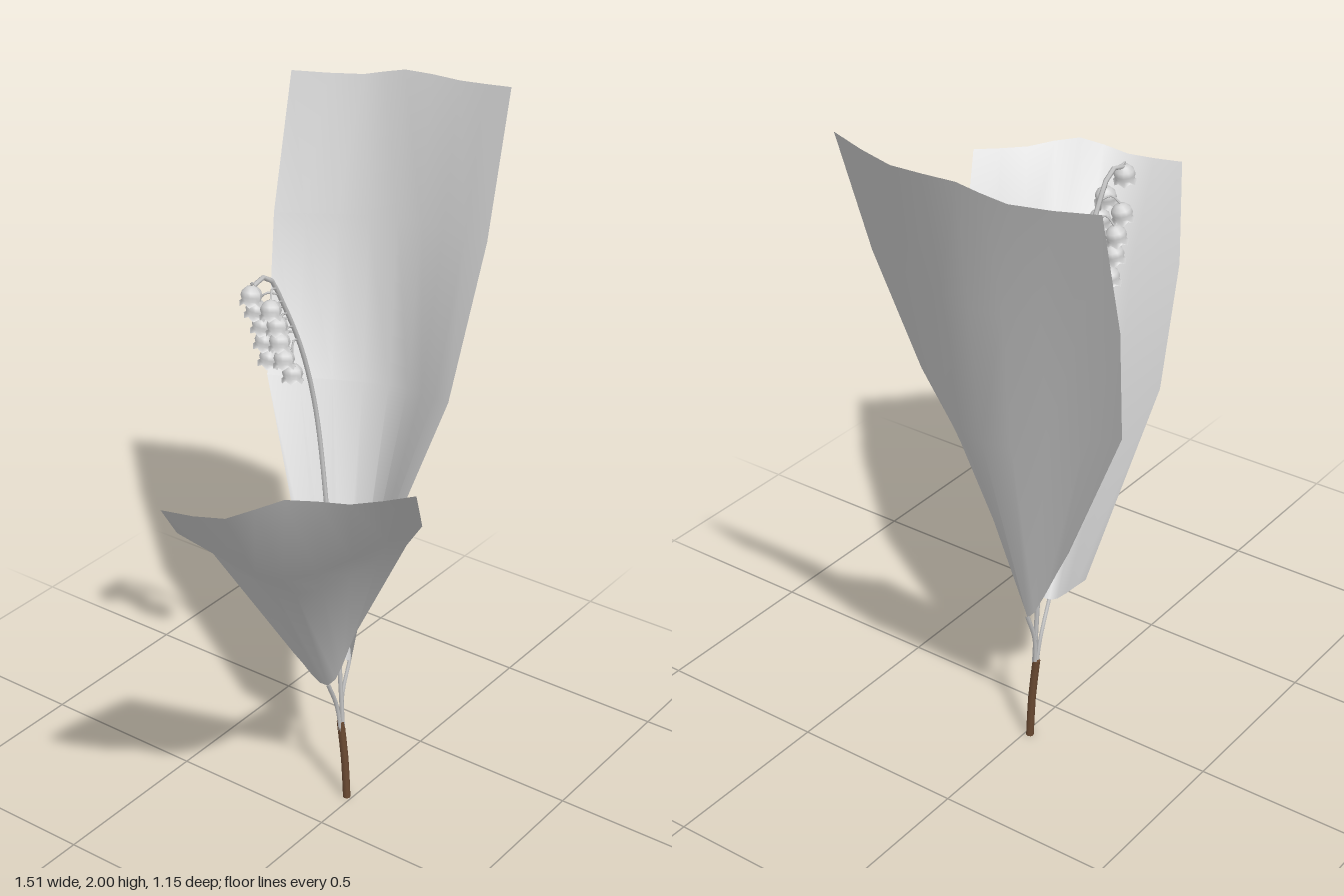
import * as THREE from 'three';

const V = (p) => new THREE.Vector3(...p);
const material = (name, color, side = THREE.FrontSide) => {
  const m = new THREE.MeshStandardMaterial({ color, side });
  m.name = name;
  return m;
};

// Leaf blade lofted straight between curved cross-sections, tip row first
function leafGeometry(rows, columns = 8) {
  const positions = [], index = [];
  rows.forEach((row, r) => {
    const curve = new THREE.CatmullRomCurve3(row.map(V));
    for (let c = 0; c <= columns; c++) {
      positions.push(...curve.getPoint(c / columns).toArray());
      if (r === 0 || c === columns) continue;
      const b = r * (columns + 1) + c, a = b - columns - 1;
      index.push(a, b, a + 1, a + 1, b, b + 1);
    }
  });
  const g = new THREE.BufferGeometry();
  g.setAttribute('position', new THREE.Float32BufferAttribute(positions, 3));
  g.setIndex(index);
  g.computeVertexNormals();
  return g;
}

export function createModel() {
  const model = new THREE.Group();
  model.name = 'floweringPlant';
  const leafMat = material('leaf grey', 0xcccccc, THREE.DoubleSide);
  const stemMat = material('stem grey', 0xc4c4c4);
  const bellMat = material('bell grey', 0xd0d0d0, THREE.DoubleSide);
  const sheathMat = material('sheath brown', 0x6a4a32);

  const add = (name, geometry, mat, parent = model) => {
    const mesh = new THREE.Mesh(geometry, mat);
    mesh.name = name;
    parent.add(mesh);
    return mesh;
  };
  const tube = (name, points, radius, mat, segments = 12, sides = 6) =>
    add(name, new THREE.TubeGeometry(new THREE.CatmullRomCurve3(points.map(V)), segments, radius, sides), mat);

  // Leaves: each row runs from the front edge over the midrib to the back edge
  add('tallLeaf', leafGeometry([
    [[0.73, 2.0, 0.08], [0.757, 1.975, -0.1], [0.745, 1.975, -0.27], [0.72, 1.945, -0.39], [0.64, 1.94, -0.58]],
    [[0.56, 1.63, 0.13], [0.62, 1.6, -0.2], [0.49, 1.58, -0.53]],
    [[0.38, 1.23, 0.14], [0.49, 1.16, -0.13], [0.31, 1.18, -0.42]],
    [[0.14, 0.57, -0.01], [0.185, 0.43, -0.04], [0.12, 0.64, -0.13]],
  ]), leafMat);
  add('lowLeaf', leafGeometry([
    [[-0.41, 1.44, 0.575], [-0.525, 1.435, 0.47], [-0.625, 1.455, 0.36], [-0.705, 1.405, 0.25], [-0.755, 1.4, 0.1]],
    [[-0.21, 1.23, 0.46], [-0.49, 1.14, 0.25], [-0.55, 1.2, -0.03]],
    [[0.02, 1.0, 0.26], [-0.23, 0.91, 0.09], [-0.27, 0.97, -0.155]],
    [[0.16, 0.56, 0], [0.07, 0.42, -0.03], [0.04, 0.51, -0.13]],
  ]), leafMat);

  // Sheath around the foot of the plant
  tube('sheath', [[0.143, 0, -0.015], [0.142, 0.13, -0.022], [0.138, 0.26, -0.035]], 0.011, sheathMat, 4, 8);
  for (const [name, y, x, z] of [['sheathFoot', 0.001, 0.143, -0.015], ['sheathRim', 0.259, 0.138, -0.035]]) {
    const cap = add(name, new THREE.CylinderGeometry(0.011, 0.011, 0.002, 8), sheathMat);
    cap.position.set(x, y, z);
  }

  // Leaf stalks
  tube('tallLeafStalk', [[0.14, 0.2, -0.03], [0.15, 0.34, -0.038], [0.187, 0.44, -0.04]], 0.006, stemMat);
  tube('lowLeafStalk', [[0.138, 0.2, -0.03], [0.12, 0.32, -0.035], [0.07, 0.425, -0.03]], 0.006, stemMat);

  // Flower stem, nodding at the top
  tube('flowerStem', [[0.142, 0.1, -0.022], [0.14, 0.5, -0.045], [0.137, 0.85, -0.075], [0.13, 1.23, -0.115],
    [0.08, 1.43, -0.125], [0.0, 1.6, -0.13], [-0.04, 1.665, -0.13], [-0.08, 1.683, -0.13],
    [-0.11, 1.672, -0.13]], 0.0065, stemMat, 40);

  // Hanging bells with a flared, scalloped rim
  const profile = [[0.001, 0], [0.014, -0.003], [0.025, -0.014], [0.028, -0.026], [0.024, -0.037], [0.03, -0.046]];
  const bell = new THREE.LatheGeometry(profile.map((p) => new THREE.Vector2(...p)).reverse(), 12);
  const pos = bell.attributes.position;
  for (let i = 0; i < pos.count; i++) {
    if (pos.getY(i) > -0.04) continue;
    const angle = Math.atan2(pos.getZ(i), pos.getX(i));
    pos.setY(i, pos.getY(i) + 0.005 * Math.cos(6 * angle));
  }
  bell.computeVertexNormals();

  const hang = (root, top) => {
    const mid = [(root[0] + top[0]) / 2 - 0.008, Math.max(root[1], top[1]) + 0.008, (root[2] + top[2]) / 2];
    tube('flowerStalk', [root, mid, top], 0.003, stemMat, 6, 5);
    const flower = add('bell', bell, bellMat);
    flower.position.set(...top);
    flower.rotation.set((top[2] + 0.135) * -4, 0, -0.15);
  };
  hang([-0.105, 1.675, -0.13], [-0.115, 1.675, -0.13]);
  // Bells alternate between the front and back of the stem
  const roots = [[-0.02, 1.635], [0.005, 1.59], [0.025, 1.55], [0.048, 1.505], [0.068, 1.46]];
  const tops = [[-0.068, 1.625], [-0.043, 1.573], [-0.033, 1.525], [-0.015, 1.47], [0.02, 1.415]];
  roots.forEach(([x, y], i) => {
    const [tx, ty] = tops[i];
    hang([x, y, -0.128], [tx, ty, -0.108]);
    if (i < 4) hang([x + 0.01, y - 0.02, -0.128], [tx + 0.02, ty - 0.022, -0.165]);
  });

  return model;
}
